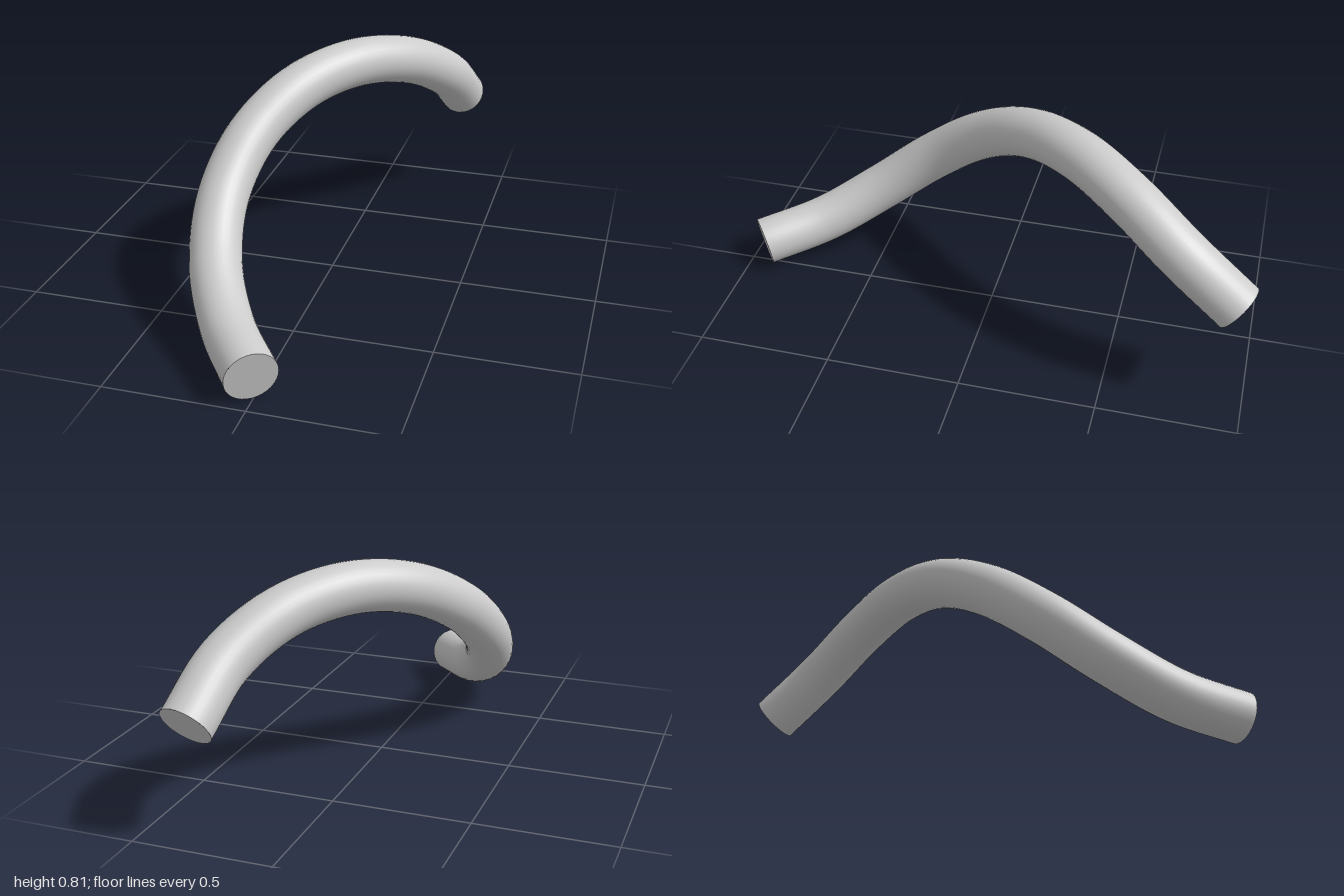
import * as THREE from 'three';

export function createModel() {
  const group = new THREE.Group();
  const material = new THREE.MeshStandardMaterial({ color: 0xcccccc });
  const coilRadius = 0.314, tubeRadius = 0.093, halfLength = 0.941, centreY = 0.407;
  const sides = 32, steps = 9;

  // Three quarters of a helix turn, running from front to back
  const points = [];
  for (let i = 0; i <= steps; i++) {
    const t = i / steps, a = t * Math.PI * 1.5;
    points.push(new THREE.Vector3(
      -coilRadius * Math.sin(a),
      centreY - coilRadius * Math.cos(a),
      halfLength * (1 - 2 * t)));
  }
  const path = new THREE.CatmullRomCurve3(points);

  const tube = new THREE.Mesh(new THREE.TubeGeometry(path, 64, tubeRadius, sides, false), material);
  tube.name = 'helicalTube';
  group.add(tube);

  // Flat discs closing both ends, facing outward along the path
  for (const [name, t, sign] of [['frontCap', 0, -1], ['backCap', 1, 1]]) {
    const cap = new THREE.Mesh(new THREE.CircleGeometry(tubeRadius, sides), material);
    cap.name = name;
    cap.position.copy(path.getPointAt(t));
    cap.quaternion.setFromUnitVectors(
      new THREE.Vector3(0, 0, 1), path.getTangentAt(t).multiplyScalar(sign));
    group.add(cap);
  }
  return group;
}
